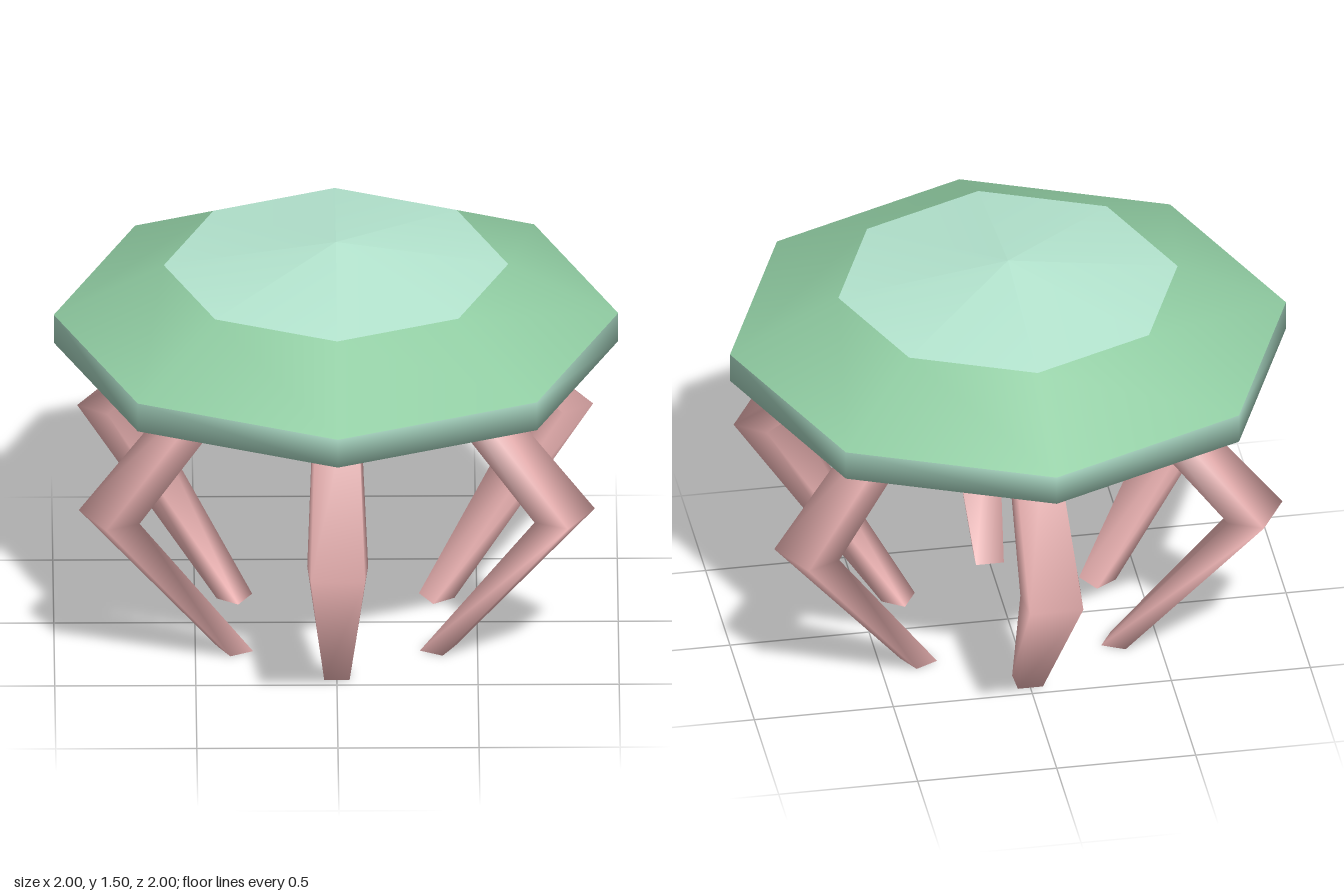
import * as THREE from 'three';

const mint = new THREE.MeshStandardMaterial({ color: 0xb5e6d0 });
const green = new THREE.MeshStandardMaterial({ color: 0x90cca2 });
const pink = new THREE.MeshStandardMaterial({ color: 0xf2b8b8 });

// Eight-sided band of the shell, profile given as [radius, height]
function shellBand(name, profile, material) {
  const points = profile.map(([r, y]) => new THREE.Vector2(r, y));
  const mesh = new THREE.Mesh(new THREE.LatheGeometry(points, 8), material);
  mesh.name = name;
  return mesh;
}

// Four-sided bent leg lofted through horizontal sections, pointing to +z
function legGeometry() {
  // height, outer reach, inner reach, outer half width, inner half width
  const sections = [
    [0, 0.46, 0.37, 0.045, 0.05],
    [0.655, 1.0, 0.87, 0.096, 0.108],
    [1.2, 0.42, 0.28, 0.07, 0.075],
  ];
  const positions = [];
  const index = [];
  for (const [y, outer, inner, wo, wi] of sections) {
    positions.push(wo, y, outer, wi, y, inner, -wi, y, inner, -wo, y, outer);
  }
  for (let s = 0; s < sections.length - 1; s++) {
    for (let k = 0; k < 4; k++) {
      const a = s * 4 + k;
      const b = s * 4 + ((k + 1) % 4);
      index.push(a, b, b + 4, a, b + 4, a + 4);
    }
  }
  // foot and hip caps
  const top = (sections.length - 1) * 4;
  index.push(0, 2, 1, 0, 3, 2, top, top + 1, top + 2, top, top + 2, top + 3);

  const geometry = new THREE.BufferGeometry();
  geometry.setAttribute('position', new THREE.Float32BufferAttribute(positions, 3));
  geometry.setIndex(index);
  geometry.computeVertexNormals();
  return geometry;
}

export function createModel() {
  const model = new THREE.Group();
  model.name = 'sixLeggedShellCreature';

  // Shell: hollow underside with a central point, rim, sloping back and crown
  const shell = new THREE.Group();
  shell.name = 'shell';
  shell.add(
    shellBand('underside', [[0, 0.96], [0.47, 1.22], [0.77, 1.04]], green),
    shellBand('rim', [[0.77, 1.04], [1, 1.11], [1, 1.22]], mint),
    shellBand('shellSlope', [[1, 1.22], [0.61, 1.415]], green),
    shellBand('crown', [[0.61, 1.415], [0, 1.505]], mint),
  );
  model.add(shell);

  // Six legs evenly spaced around the body
  const geometry = legGeometry();
  for (let i = 0; i < 6; i++) {
    const leg = new THREE.Mesh(geometry, pink);
    leg.name = `leg${i + 1}`;
    leg.rotation.y = (i * Math.PI) / 3;
    model.add(leg);
  }
  return model;
}
